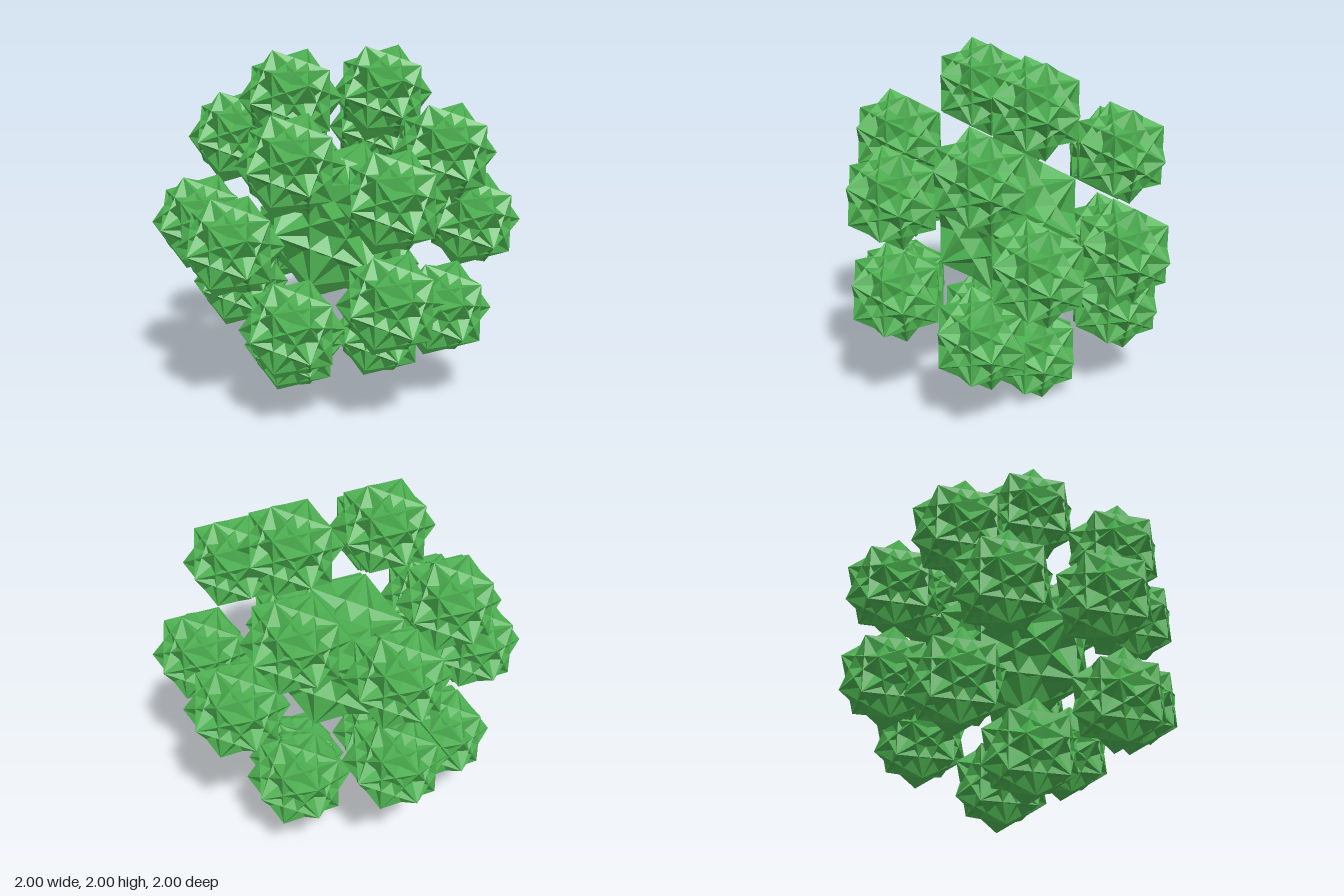
import * as THREE from 'three';
import { mergeGeometries } from 'three/addons/utils/BufferGeometryUtils.js';

const PHI = (1 + Math.sqrt(5)) / 2;
const OUTER = 0.7295;            // reach of the ring of small stars along each axis
const CORE_TIP = OUTER / PHI;    // tip reach of the central star
const SMALL_TIP = 1 - OUTER;     // tip reach of each small star

// Star of five interlocking cubes, turned in fifths about a five-fold axis
function starGeometry(tip) {
  const side = (2 * tip) / PHI;
  const axis = new THREE.Vector3(1, 0, PHI).normalize();
  const cubes = [];
  for (let i = 0; i < 5; i++) {
    const turn = new THREE.Matrix4().makeRotationAxis(axis, (i * 2 * Math.PI) / 5);
    cubes.push(new THREE.BoxGeometry(side, side, side).applyMatrix4(turn));
  }
  return mergeGeometries(cubes);
}

// The 20 corners of a dodecahedron whose reach along each axis is r
function dodecahedronCorners(r) {
  const a = r / PHI, b = r / (PHI * PHI);
  const corners = [];
  for (const s of [-1, 1]) {
    for (const t of [-1, 1]) {
      corners.push([s * b, t * r, 0], [0, s * b, t * r], [t * r, 0, s * b]);
      for (const u of [-1, 1]) corners.push([s * a, t * a, u * a]);
    }
  }
  return corners;
}

export function createModel() {
  const model = new THREE.Group();
  model.name = 'starCluster';
  const material = new THREE.MeshStandardMaterial({ color: 0x4caf50, flatShading: true });

  // Large star in the middle
  const core = new THREE.Mesh(starGeometry(CORE_TIP), material);
  core.name = 'centralStar';
  core.position.y = 1;
  model.add(core);

  // Small stars around it
  const small = starGeometry(SMALL_TIP);
  dodecahedronCorners(OUTER).forEach(([x, y, z], i) => {
    const star = new THREE.Mesh(small, material);
    star.name = `outerStar${i + 1}`;
    star.position.set(x, y + 1, z);
    model.add(star);
  });
  return model;
}
